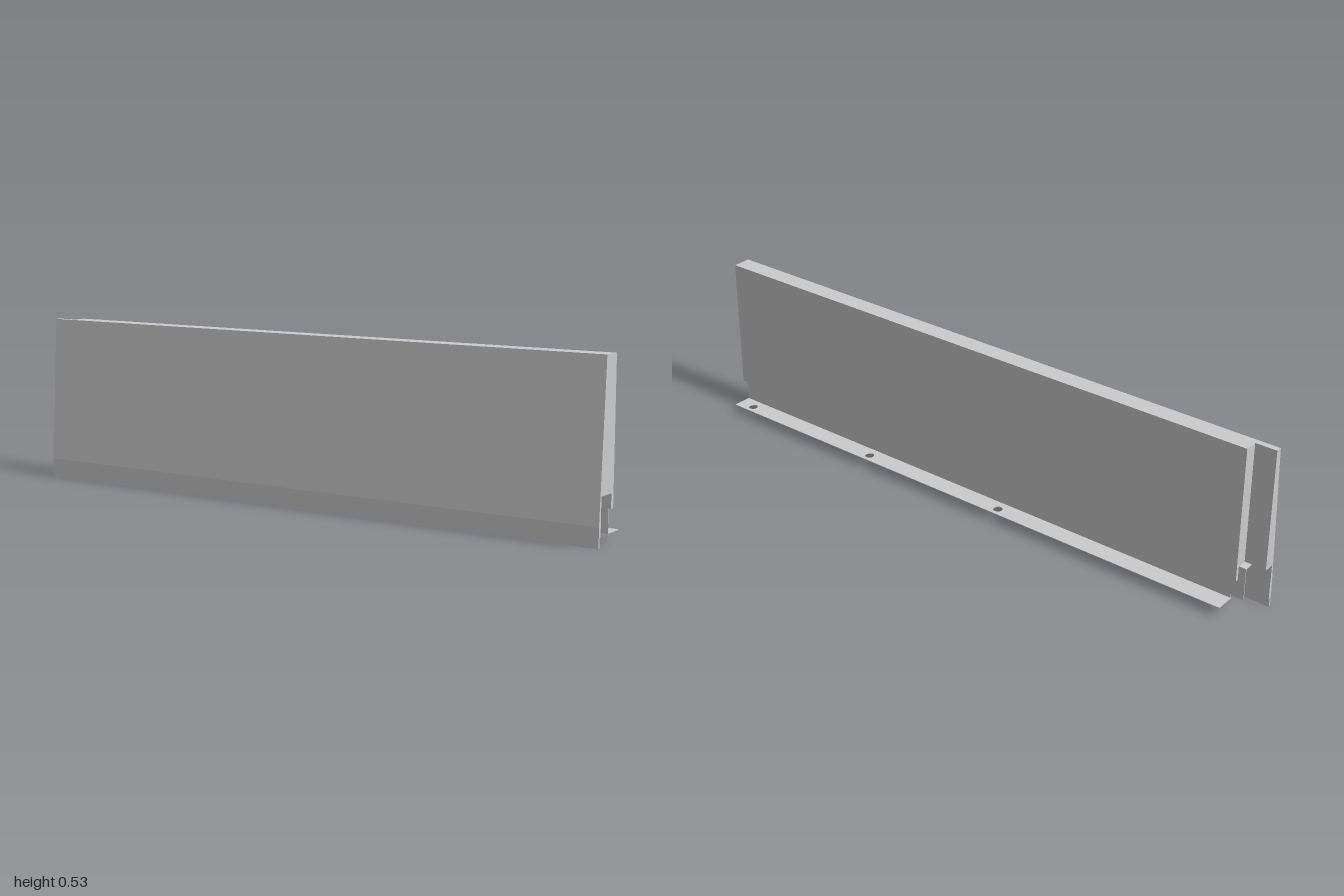
import * as THREE from 'three';

const material = new THREE.MeshStandardMaterial({ color: 0xcccccc, flatShading: true, side: THREE.DoubleSide });

const shapeOf = (points) => new THREE.Shape(points.map(([a, b]) => new THREE.Vector2(a, b)));

function addMesh(group, name, geometry) {
  const mesh = new THREE.Mesh(geometry, material);
  mesh.name = name;
  group.add(mesh);
}

// Extrudes an x/y section between two z positions
function sectionAlongZ(points, z0, z1) {
  const geometry = new THREE.ExtrudeGeometry(shapeOf(points), { depth: z1 - z0, bevelEnabled: false });
  return geometry.translate(0, 0, z0);
}

// Sloping outer face with its thin stepped skirt, shared by both body sections
const outerSide = [
  [-0.043, 0.526], [-0.0695, 0.06], [-0.0695, 0],
  [-0.064, 0], [-0.064, 0.03], [-0.0585, 0.03], [-0.0585, 0.143],
];

export function createModel() {
  const group = new THREE.Group();
  group.name = 'edgePanel';

  // Full-depth panel, with a channel under it
  addMesh(group, 'panelBody', sectionAlongZ(
    [...outerSide, [0.003, 0.143], [0.003, 0.1], [0.016, 0.1], [0.016, 0.526]], -0.932, 1));

  // Thinner rear end that leaves the rebate
  addMesh(group, 'rearLip', sectionAlongZ(
    [...outerSide, [-0.025, 0.143], [-0.025, 0.526]], -1, -0.932));

  // Small ledge across the rebate, meeting the web
  addMesh(group, 'rearLedge', sectionAlongZ(
    [[-0.025, 0.143], [0.0055, 0.143], [0.0055, 0.1455], [-0.025, 0.1455]], -0.955, -0.932));

  // Bracket web: drawn in z/y, notched at the rear
  const web = new THREE.ExtrudeGeometry(shapeOf([
    [-0.993, 0.03], [0.912, 0.03], [0.912, 0.042], [0.955, 0.042],
    [0.955, 0.1435], [0.932, 0.1435], [0.932, 0.102], [-0.993, 0.102],
  ]), { depth: 0.0025, bevelEnabled: false });
  web.rotateY(Math.PI / 2).translate(0.003, 0, 0);
  addMesh(group, 'bracketWeb', web);

  // Bracket flange with three screw holes: drawn in x/-z
  const flangeShape = shapeOf([[0.003, -0.993], [0.067, -0.993], [0.067, 0.915], [0.003, 0.915]]);
  for (const z of [0.935, 0.41, -0.112]) {
    flangeShape.holes.push(new THREE.Path().absarc(0.041, -z, 0.0145, 0, Math.PI * 2, true));
  }
  const flange = new THREE.ExtrudeGeometry(flangeShape, { depth: 0.0025, bevelEnabled: false, curveSegments: 24 });
  flange.rotateX(-Math.PI / 2).translate(0, 0.0295, 0);
  addMesh(group, 'bracketFlange', flange);

  return group;
}
